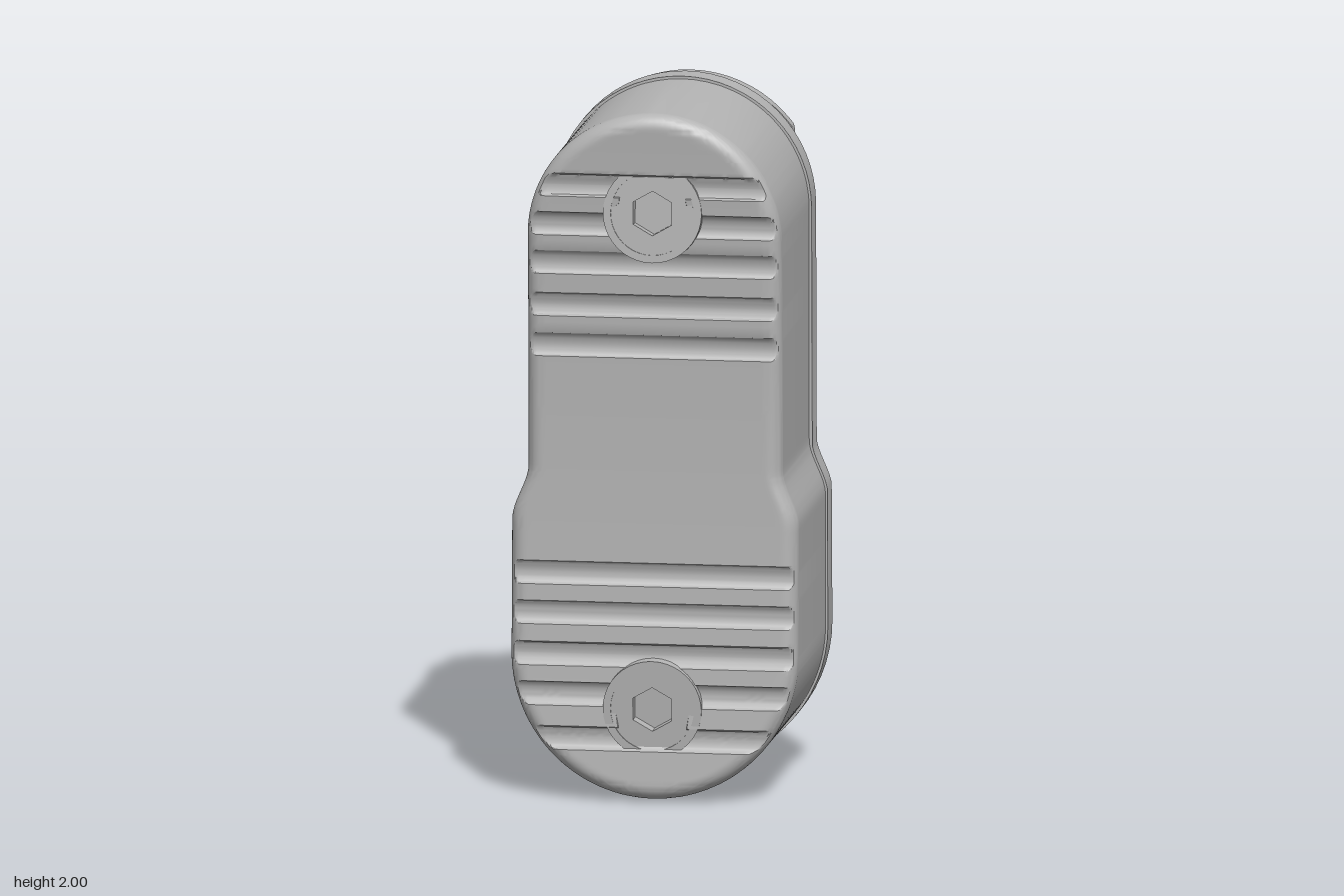
import * as THREE from 'three';
import { toCreasedNormals } from 'three/addons/utils/BufferGeometryUtils.js';

const GROOVES = [1.782, 1.668, 1.555, 1.432, 1.315, 0.655, 0.54, 0.423, 0.308, 0.182];
const SCREWS = [1.705, 0.27];
const BOSS_Y = 0.68;

// Outline: narrow round top, wide round bottom, short shoulder between
function makeOutline(rTop, rLow, y0, y1) {
  const cTop = y1 - rTop, cLow = y0 + rLow;
  const width = (y) => {
    if (y > cTop) return Math.sqrt(Math.max(0, rTop * rTop - (y - cTop) ** 2));
    if (y < cLow) return Math.sqrt(Math.max(0, rLow * rLow - (y - cLow) ** 2));
    return THREE.MathUtils.lerp(rLow, rTop, THREE.MathUtils.smoothstep(y, 0.8, 0.96));
  };
  // Distance from a point inside to the edge
  const inset = (x, y) => {
    if (y > cTop) return rTop - Math.hypot(x, y - cTop);
    if (y < cLow) return rLow - Math.hypot(x, y - cLow);
    return width(y) - Math.abs(x);
  };
  const rows = [];
  for (let i = 0; i <= 16; i++) {
    const k = 1 - Math.cos((i / 16) * Math.PI / 2);
    rows.push(y0 + rLow * k, y1 - rTop * k);
  }
  for (let i = 1; i < 8; i++) rows.push(0.8 + 0.02 * i);
  return { width, inset, rows, y0, y1 };
}

const tidy = (ys, gap) => ys.sort((a, b) => a - b).filter((y, i) => i === 0 || y - ys[i - 1] > gap);

// Gently hollow front face
const faceZ = (y) => 0.33 + 0.045 * (y - 1) ** 2;

// Body: one grid that covers the grooved face, its rounded rim and the side walls
function bodyGeometry() {
  const o = makeOutline(0.366, 0.413, 0.008, 1.992);
  const fillet = 0.045, half = 0.034, depth = 0.017, backZ = -0.215;
  const ys = [...o.rows];
  for (let y = 0.02; y < 1.98; y += 0.016) ys.push(y);
  for (const g of GROOVES) for (const k of [-1, -0.85, -0.5, 0, 0.5, 0.85, 1]) ys.push(g + k * half);
  const rows = tidy(ys, 0.0015);
  const cols = 56, pos = [], index = [];
  const surface = (x, y) => {
    const e = Math.max(0, fillet - o.inset(x, y));
    const rim = fillet - Math.sqrt(Math.max(0, fillet * fillet - e * e));
    let cut = 0;
    for (const g of GROOVES) {
      const k = (y - g) / half;
      if (Math.abs(k) < 1) cut = depth * Math.sqrt(1 - k * k);
    }
    for (const s of SCREWS) if (Math.hypot(x, y - s) < 0.1) cut = 0.055;
    return faceZ(y) - Math.max(rim, cut);
  };
  for (const y of rows) {
    const w = o.width(y);
    pos.push(-w, y, backZ);
    for (let i = 0; i <= cols; i++) {
      const x = w * Math.sin((i / cols - 0.5) * Math.PI);
      pos.push(x, y, surface(x, y));
    }
    pos.push(w, y, backZ);
  }
  const n = cols + 3;
  for (let r = 0; r < rows.length - 1; r++) {
    for (let c = 0; c < n - 1; c++) {
      const a = r * n + c, b = a + 1, d = a + n, e = d + 1;
      index.push(a, b, e, a, e, d);
    }
  }
  const geo = new THREE.BufferGeometry();
  geo.setAttribute('position', new THREE.Float32BufferAttribute(pos, 3));
  geo.setIndex(index);
  return toCreasedNormals(geo, 0.5);
}

// Flat plate following an outline, with its half width limited by a rule
function plateShape(o, limit = () => 1, extra = []) {
  const rows = tidy([...o.rows, ...extra], 0.0005);
  const side = rows.map((y) => new THREE.Vector2(Math.min(o.width(y), limit(y)), y));
  const other = side.slice(1, -1).reverse().map((p) => new THREE.Vector2(-p.x, p.y));
  return new THREE.Shape([...side, ...other]);
}

const circle = (Type, r, y = 0, sides = 40) => new Type(
  Array.from({ length: sides }, (_, i) => {
    const a = (i / sides) * Math.PI * 2 + Math.PI / 2;
    return new THREE.Vector2(r * Math.cos(a), y + r * Math.sin(a));
  }));

const extrude = (shape, depth) => toCreasedNormals(
  new THREE.ExtrudeGeometry(shape, { depth, bevelEnabled: false, curveSegments: 8 }), 0.4);

export function createModel() {
  const model = new THREE.Group();
  model.name = 'groovedPedalBlock';
  const grey = new THREE.MeshStandardMaterial({ color: 0xb4b4b4 });
  grey.name = 'grey';
  const add = (name, geo, x = 0, y = 0, z = 0, parent = model) => {
    const mesh = new THREE.Mesh(geo, grey);
    mesh.name = name;
    mesh.position.set(x, y, z);
    parent.add(mesh);
    return mesh;
  };

  add('body', bodyGeometry());

  // Flange behind the body
  const rim = makeOutline(0.373, 0.42, 0, 2);
  add('flange', extrude(plateShape(rim), 0.085), 0, 0, -0.295);

  // Neck, with the screw hole running through it
  const back = makeOutline(0.37, 0.415, 0.012, 1.988);
  const neck = plateShape(back, () => 0.245, [0.07, 0.08, 0.09, 1.9, 1.91, 1.92]);
  neck.holes.push(circle(THREE.Path, 0.055, BOSS_Y));
  add('neck', extrude(neck, 0.047), 0, 0, -0.342);

  // Slide plate with overhanging rails and one long pocket
  const railLimit = (y) => (y > 0.65 && y < 1.8 ? 0.28 : 0.3);
  const slide = plateShape(back, railLimit, [0.12, 0.13, 0.649, 0.651, 1.799, 1.801, 1.84]);
  const px = 0.19, p0 = 0.08, p1 = 1.925, c = 0.06;
  const pocket = new THREE.Path();
  pocket.moveTo(-px + c, p0);
  pocket.lineTo(px - c, p0).quadraticCurveTo(px, p0, px, p0 + c);
  pocket.lineTo(px, p1 - c).quadraticCurveTo(px, p1, px - c, p1);
  pocket.lineTo(-px + c, p1).quadraticCurveTo(-px, p1, -px, p1 - c);
  pocket.lineTo(-px, p0 + c).quadraticCurveTo(-px, p0, -px + c, p0);
  slide.holes.push(pocket);
  add('slidePlate', extrude(slide, 0.04), 0, 0, -0.38);

  // Ribs inside the pocket
  for (const [a, b] of [[p0, BOSS_Y - 0.1], [BOSS_Y + 0.1, p1]]) {
    add('centreRib', new THREE.BoxGeometry(0.04, b - a, 0.04), 0, (a + b) / 2, -0.36);
  }
  for (const y of [1.49, 0.98, 0.54]) {
    for (const s of [-1, 1]) add('crossRib', new THREE.BoxGeometry(0.172, 0.03, 0.03), s * 0.105, y, -0.355);
  }
  const boss = circle(THREE.Shape, 0.11, BOSS_Y);
  boss.holes.push(circle(THREE.Path, 0.075, BOSS_Y));
  add('screwBoss', extrude(boss, 0.042), 0, 0, -0.382);

  // Two hex socket screws set in collars, tilted to follow the face
  for (const y of SCREWS) {
    const screw = new THREE.Group();
    screw.name = 'screw';
    screw.position.set(0, y, faceZ(y));
    screw.rotation.x = -Math.atan(0.09 * (y - 1)) * -1 * -1;
    const collar = circle(THREE.Shape, 0.142);
    collar.holes.push(circle(THREE.Path, 0.12));
    add('screwCollar', extrude(collar, 0.05), 0, 0, -0.044, screw);
    const head = circle(THREE.Shape, 0.121);
    head.holes.push(circle(THREE.Path, 0.064, 0, 6));
    add('screwHead', extrude(head, 0.05), 0, 0, -0.048, screw);
    add('socketFloor', extrude(circle(THREE.Shape, 0.07, 0, 6), 0.01), 0, 0, -0.048, screw);
    model.add(screw);
  }
  return model;
}
